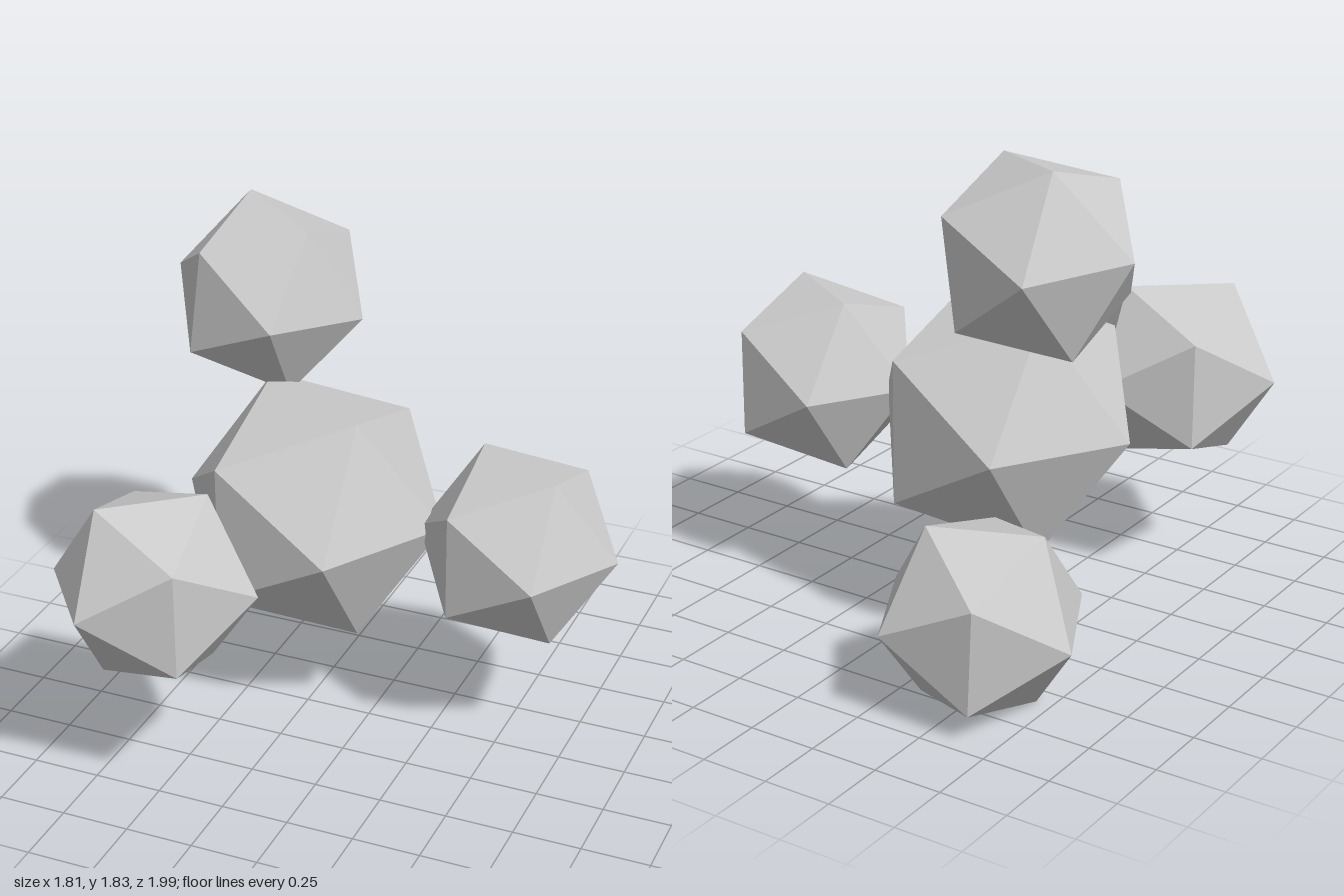
import * as THREE from 'three';

const TETRA = Math.acos(-1 / 3); // tetrahedral bond angle

export function createModel() {
  const model = new THREE.Group();
  model.name = 'molecule';
  const material = new THREE.MeshStandardMaterial({ color: 0xcccccc, flatShading: true });

  // Icosahedron with one corner pointing along +x
  function atom(name, radius) {
    const geometry = new THREE.IcosahedronGeometry(radius, 0);
    geometry.rotateY(-Math.atan(2 / (1 + Math.sqrt(5))));
    const mesh = new THREE.Mesh(geometry, material);
    mesh.name = name;
    return mesh;
  }

  const center = new THREE.Vector3(-0.256, 0.802, -0.102);

  // Large central atom
  const core = atom('centralAtom', 0.503);
  core.position.copy(center);
  model.add(core);

  // Outer atom on the +x bond
  const side = atom('leftOuterAtom', 0.375);
  side.position.set(0.53, center.y, center.z);
  model.add(side);

  // Three outer atoms spread around the x axis: front, upper back, lower back
  ['frontOuterAtom', 'upperOuterAtom', 'lowerOuterAtom'].forEach((name, i) => {
    const turn = i * TETRA;
    const outer = atom(name, 0.375);
    outer.rotation.set(-turn, -TETRA, 0);
    outer.position.set(-0.535, center.y + 0.744 * Math.sin(turn), center.z + 0.744 * Math.cos(turn));
    model.add(outer);
  });

  return model;
}
